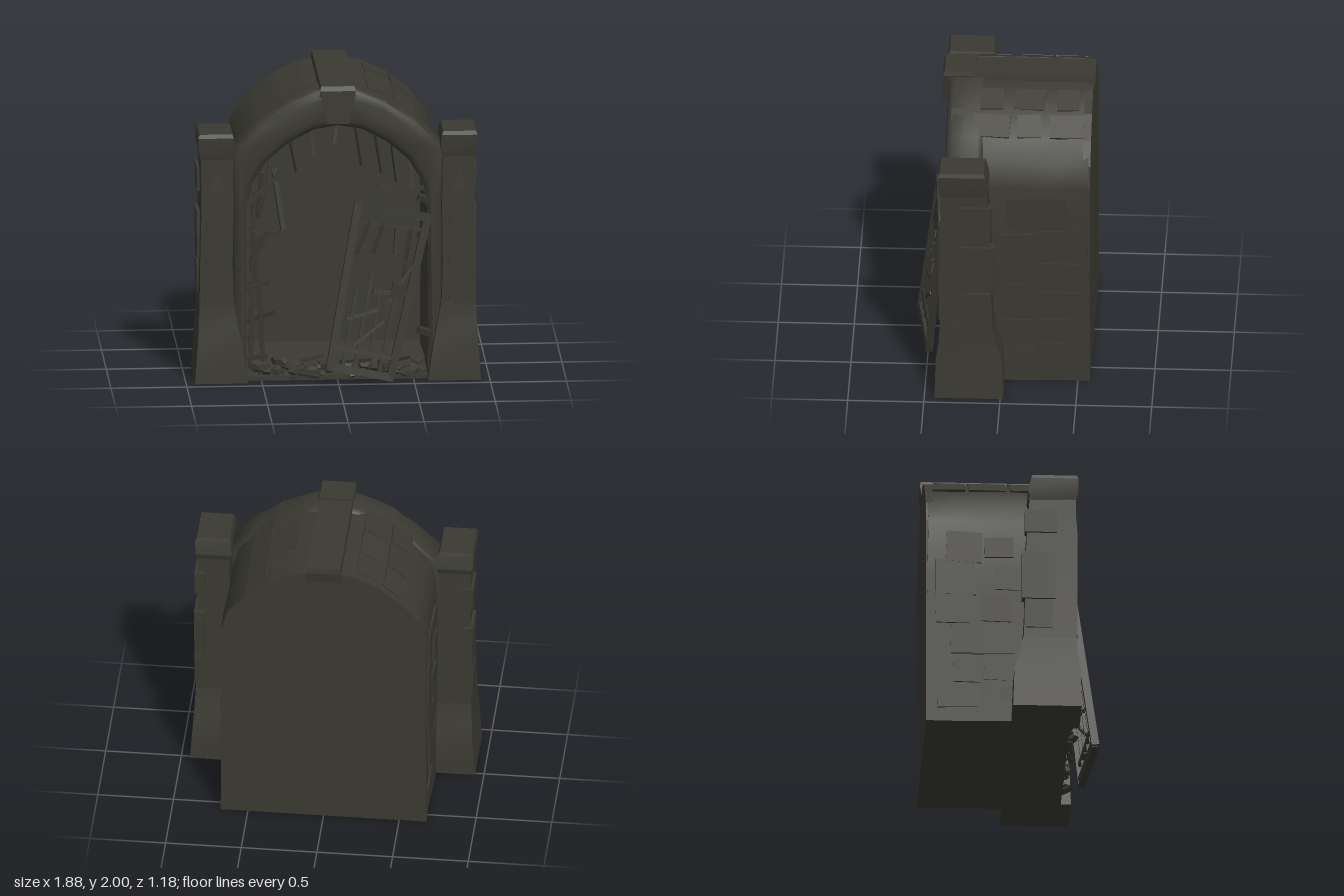
import * as THREE from 'three';
import { toCreasedNormals } from 'three/addons/utils/BufferGeometryUtils.js';

let seed = 7;
const rnd = (a, b) => {
  seed = (seed * 16807) % 2147483647;
  return a + (b - a) * (seed / 2147483647);
};

const stone = new THREE.MeshStandardMaterial({ color: 0x3a3931 });
stone.name = 'darkStone';
const iron = new THREE.MeshStandardMaterial({ color: 0x37362f });
iron.name = 'oldIron';

function add(parent, name, geometry, material = stone) {
  const m = new THREE.Mesh(geometry, material);
  m.name = name;
  parent.add(m);
  return m;
}

// Weathering: shift vertices by a smooth rule, then soften shallow edges
function weather(geo, amount, crease = 0.7) {
  const p = geo.attributes.position;
  for (let i = 0; i < p.count; i++) {
    const x = p.getX(i), y = p.getY(i), z = p.getZ(i);
    p.setXYZ(i,
      x + amount * Math.sin(y * 11 + z * 7 + x * 2),
      y < 0.02 ? y : y + amount * 0.5 * Math.sin(x * 9 + z * 13),
      z + amount * Math.sin(x * 8 + y * 9));
  }
  return toCreasedNormals(geo, crease);
}

// Stack of rectangular cross-sections: [y, x0, x1, z0, z1]
function stack(rows) {
  const pos = [], idx = [];
  const quad = (a, b, c, d) => idx.push(a, b, c, a, c, d);
  rows.forEach(([y, x0, x1, z0, z1]) => pos.push(x0, y, z1, x1, y, z1, x1, y, z0, x0, y, z0));
  for (let r = 0; r < rows.length - 1; r++)
    for (let k = 0; k < 4; k++) {
      const a = r * 4 + k, b = r * 4 + (k + 1) % 4;
      quad(a, b, b + 4, a + 4);
    }
  const t = (rows.length - 1) * 4;
  quad(t, t + 1, t + 2, t + 3);
  quad(3, 2, 1, 0);
  const g = new THREE.BufferGeometry();
  g.setAttribute('position', new THREE.Float32BufferAttribute(pos, 3));
  g.setIndex(idx);
  return g;
}

// Straight bar between two points
function bar(parent, name, a, b, w, d = w) {
  const A = new THREE.Vector3(...a), B = new THREE.Vector3(...b);
  const m = add(parent, name, new THREE.BoxGeometry(w, A.distanceTo(B), d), iron);
  m.position.copy(A).add(B).multiplyScalar(0.5);
  m.quaternion.setFromUnitVectors(new THREE.Vector3(0, 1, 0), B.sub(A).normalize());
  return m;
}

// Arch outlines, right half from springing to crown
const OUTER = [[0.68, 0], [0.675, 0.5], [0.675, 1], [0.675, 1.45], [0.63, 1.6], [0.52, 1.73], [0.37, 1.85], [0.2, 1.93], [0, 1.96]];
const INNER = [[0.6, 0], [0.6, 0.5], [0.6, 1.15], [0.56, 1.33], [0.46, 1.48], [0.32, 1.6], [0.16, 1.69], [0, 1.72]];
const RING = [[0.69, 0], [0.69, 0.6], [0.69, 1.2], [0.69, 1.58], [0.52, 1.75], [0.32, 1.88], [0.14, 1.96], [0, 1.98]];
const both = half => [...half, ...half.slice(0, -1).reverse().map(([x, y]) => [-x, y])];
const vec = pts => pts.map(([x, y]) => new THREE.Vector2(x, y));
const archShape = (outer, inner) =>
  new THREE.Shape(vec(inner ? [...both(outer), ...both(inner).reverse()] : both(outer)));

function extrude(shape, z0, z1, options = {}) {
  const g = new THREE.ExtrudeGeometry(shape, { depth: z1 - z0, steps: 5, bevelEnabled: false, ...options });
  return g.translate(0, 0, z0);
}

function buildVault(root) {
  const g = new THREE.Group();
  g.name = 'vault';
  root.add(g);
  add(g, 'vaultShell', weather(extrude(archShape(OUTER, INNER), -0.57, 0.34), 0.006));
  add(g, 'backWall', extrude(archShape(OUTER), -0.58, -0.53, { steps: 1 }));
  add(g, 'floor', new THREE.BoxGeometry(1.28, 0.03, 0.93).translate(0, 0.015, -0.1));
  // Front arch with rounded edges
  add(g, 'archRing', weather(extrude(archShape(RING, INNER), 0.16, 0.33,
    { steps: 2, bevelEnabled: true, bevelThickness: 0.045, bevelSize: 0.05, bevelOffset: -0.05, bevelSegments: 2 }), 0.005, 1));
  // Ridge course and keystone
  add(g, 'ridge', stack([[1.88, -0.12, 0.12, -0.58, 0.36], [1.955, -0.115, 0.115, -0.595, 0.38], [1.99, -0.11, 0.11, -0.59, 0.38]]));
  add(g, 'keystone', stack([[1.75, -0.075, 0.075, 0.2, 0.42], [1.97, -0.118, 0.118, 0.2, 0.415], [2, -0.11, 0.11, 0.2, 0.40]]));
  // Slightly raised stones on the side walls and roof
  for (const s of [-1, 1]) {
    for (let i = 0; i < 12; i++) {
      const m = add(g, 'wallStone', new THREE.BoxGeometry(0.025, rnd(0.12, 0.26), rnd(0.12, 0.3)));
      m.position.set(s * 0.672, 0.16 + 0.22 * (i % 6), i < 6 ? rnd(-0.4, -0.28) : rnd(-0.15, 0.02));
      m.rotation.set(rnd(-0.05, 0.05), rnd(-0.04, 0.04), 0);
    }
    for (let i = 0; i < 6; i++) {
      const m = add(g, 'roofStone', new THREE.BoxGeometry(0.16, 0.02, rnd(0.14, 0.26)));
      const low = i % 2;
      m.position.set(s * (low ? 0.45 : 0.28), low ? 1.79 : 1.892, -0.42 + 0.25 * (i >> 1));
      m.rotation.set(0, rnd(-0.08, 0.08), -s * (low ? 0.67 : 0.45));
    }
  }
}

function buildPillar(root, s) {
  const g = new THREE.Group();
  g.name = s > 0 ? 'leftPillar' : 'rightPillar';
  root.add(g);
  // Mirror a row of the stack to this side
  const rows = list => stack(list.map(([y, a, b, c, d]) => s > 0 ? [y, a, b, c, d] : [y, -b, -a, c, d]));
  add(g, 'pillarBase', toCreasedNormals(rows([
    [0, 0.59, 0.942, -0.02, 0.432], [0.28, 0.635, 0.922, -0.01, 0.425], [0.4, 0.66, 0.915, 0.03, 0.405], [0.52, 0.68, 0.91, 0.05, 0.4]]), 0.5));
  add(g, 'pillarShaft', weather(rows([
    [0.45, 0.68, 0.91, 0.05, 0.4], [0.8, 0.69, 0.905, 0.06, 0.397], [1.2, 0.69, 0.9, 0.07, 0.397], [1.55, 0.69, 0.9, 0.09, 0.395]]), 0.004));
  add(g, 'pillarCap', toCreasedNormals(rows([
    [1.5, 0.69, 0.9, 0.1, 0.395], [1.57, 0.675, 0.915, 0.08, 0.41], [1.66, 0.685, 0.92, 0.1, 0.412], [1.685, 0.695, 0.91, 0.11, 0.4]]), 0.4));
  // Projecting side stones and a front panel
  for (const [y0, y1, z0, z1] of [[0.58, 0.78, 0.06, 0.24], [0.79, 1.13, 0.04, 0.26], [1.27, 1.43, 0.06, 0.27]])
    add(g, 'sideStone', rows([[y0, 0.85, 0.918, z0, z1], [y1, 0.85, 0.922, z0, z1]]));
  add(g, 'frontPanel', rows([[0.55, 0.73, 0.87, 0.39, 0.408], [1.3, 0.74, 0.86, 0.39, 0.406], [1.42, 0.795, 0.805, 0.39, 0.402]]));
}

function buildFallenGate(root) {
  const g = new THREE.Group();
  g.name = 'fallenGate';
  root.add(g);
  const c = [[-0.06, 0.14, 0.56], [0.34, 0.04, 0.49], [0.59, 1.1, 0.4], [0.13, 1.2, 0.43]];
  // Position on the leaning gate from width u and height v
  const at = (u, v) => [0, 1, 2].map(k =>
    (1 - v) * ((1 - u) * c[0][k] + u * c[1][k]) + v * ((1 - u) * c[3][k] + u * c[2][k]));
  const line = (name, u0, v0, u1, v1, w) => bar(g, name, at(u0, v0), at(u1, v1), w);
  line('gateStile', 0, -0.02, 0, 1.02, 0.05);
  line('gateStile', 1, -0.02, 1, 1.02, 0.05);
  line('gateRail', 0, 0, 1, 0, 0.05);
  line('gateRail', 0, 1, 1, 1, 0.05);
  line('innerRail', 0, 0.12, 1, 0.12, 0.03);
  line('innerRail', 0.45, 0.5, 1, 0.52, 0.03);
  line('innerRail', 0, 0.9, 1, 0.92, 0.02);
  // Surviving, bent and snapped bars
  const bars = [[0.2, 0, 0.2, 0.5], [0.4, 0, 0.38, 0.62], [0.6, 0.1, 0.55, 0.55], [0.8, 0, 0.8, 0.6], [0.2, 0.92, 0.1, 0.7],
    [0.4, 0.92, 0.34, 0.72], [0.6, 0.92, 0.66, 0.74], [0.8, 0.92, 0.84, 0.62], [0.12, 0.3, 0.6, 0.4], [0.3, 0.15, 0.7, 0.33],
    [0.5, 0.76, 0.85, 0.7], [0.7, 0.45, 0.95, 0.7]];
  for (const b of bars) line('gateBar', ...b, 0.022);
  const lock = add(g, 'lockPlate', new THREE.BoxGeometry(0.09, 0.11, 0.05), iron);
  lock.position.set(...at(0.82, 0.53));
  lock.rotation.z = -0.22;
}

function buildBrokenIron(root) {
  const g = new THREE.Group();
  g.name = 'brokenIronwork';
  root.add(g);
  // Bar stubs hanging from the arch
  for (const [x, y, x1, y1] of [[-0.3, 1.6, -0.26, 1.4], [-0.17, 1.68, -0.15, 1.5], [0, 1.71, -0.02, 1.58], [0.13, 1.69, 0.17, 1.43],
    [0.26, 1.64, 0.3, 1.38], [0.37, 1.57, 0.4, 1.32], [0.48, 1.47, 0.5, 1.28]])
    bar(g, 'hangingBar', [x, y, 0.27], [x1, y1, 0.29], 0.026);
  bar(g, 'crossBar', [0.27, 1.29, 0.3], [0.6, 1.27, 0.28], 0.03);
  // Remains of the second gate leaf against the jamb
  const remains = [[-0.57, 0.1, -0.55, 1.3], [-0.49, 0.12, -0.52, 0.7], [-0.6, 1.2, -0.36, 1.42], [-0.42, 1.44, -0.36, 1.03],
    [-0.6, 0.93, -0.37, 1.01], [-0.57, 0.8, -0.45, 1.02], [-0.6, 0.4, -0.41, 0.47], [-0.53, 0.66, -0.56, 1.02],
    [-0.48, 1.15, -0.44, 1.5], [-0.52, 1.1, -0.5, 1.42], [-0.6, 0.15, -0.46, 0.17], [-0.6, 0.62, -0.45, 0.68]];
  remains.forEach(([x, y, x1, y1], i) =>
    bar(g, 'hingedBar', [x, y, 0.33 + 0.02 * (i % 3)], [x1, y1, 0.36 + 0.02 * (i % 2)], 0.03));
  // Hinges on the other jamb
  for (const y of [0.3, 0.95, 1.2]) bar(g, 'hinge', [0.62, y, 0.34], [0.53, y + 0.03, 0.36], 0.04);
}

function buildRubble(root) {
  const g = new THREE.Group();
  g.name = 'rubble';
  root.add(g);
  // Broken stones across the threshold
  for (let i = 0; i < 46; i++) {
    const r = rnd(0.025, 0.065);
    const geo = new THREE.DodecahedronGeometry(r, 0).scale(rnd(0.8, 1.6), rnd(0.5, 0.8), rnd(0.7, 1.1));
    geo.rotateY(rnd(0, 3));
    const m = add(g, 'rubbleStone', geo);
    m.position.set(rnd(-0.54, 0.54), r * 0.8 + (i % 3) * 0.025, rnd(0.2, 0.39));
  }
  for (let i = 0; i < 12; i++) {
    const x = rnd(-0.5, 0.45), y = rnd(0.04, 0.15), a = rnd(-0.4, 0.4);
    bar(g, 'splinter', [x, y, rnd(0.3, 0.4)], [x + 0.18 * Math.cos(a), Math.max(0.03, y + 0.18 * Math.sin(a)), rnd(0.3, 0.43)], 0.02);
  }
}

export function createModel() {
  const root = new THREE.Group();
  root.name = 'ruinedCrypt';
  buildVault(root);
  buildPillar(root, 1);
  buildPillar(root, -1);
  buildFallenGate(root);
  buildBrokenIron(root);
  buildRubble(root);
  return root;
}
